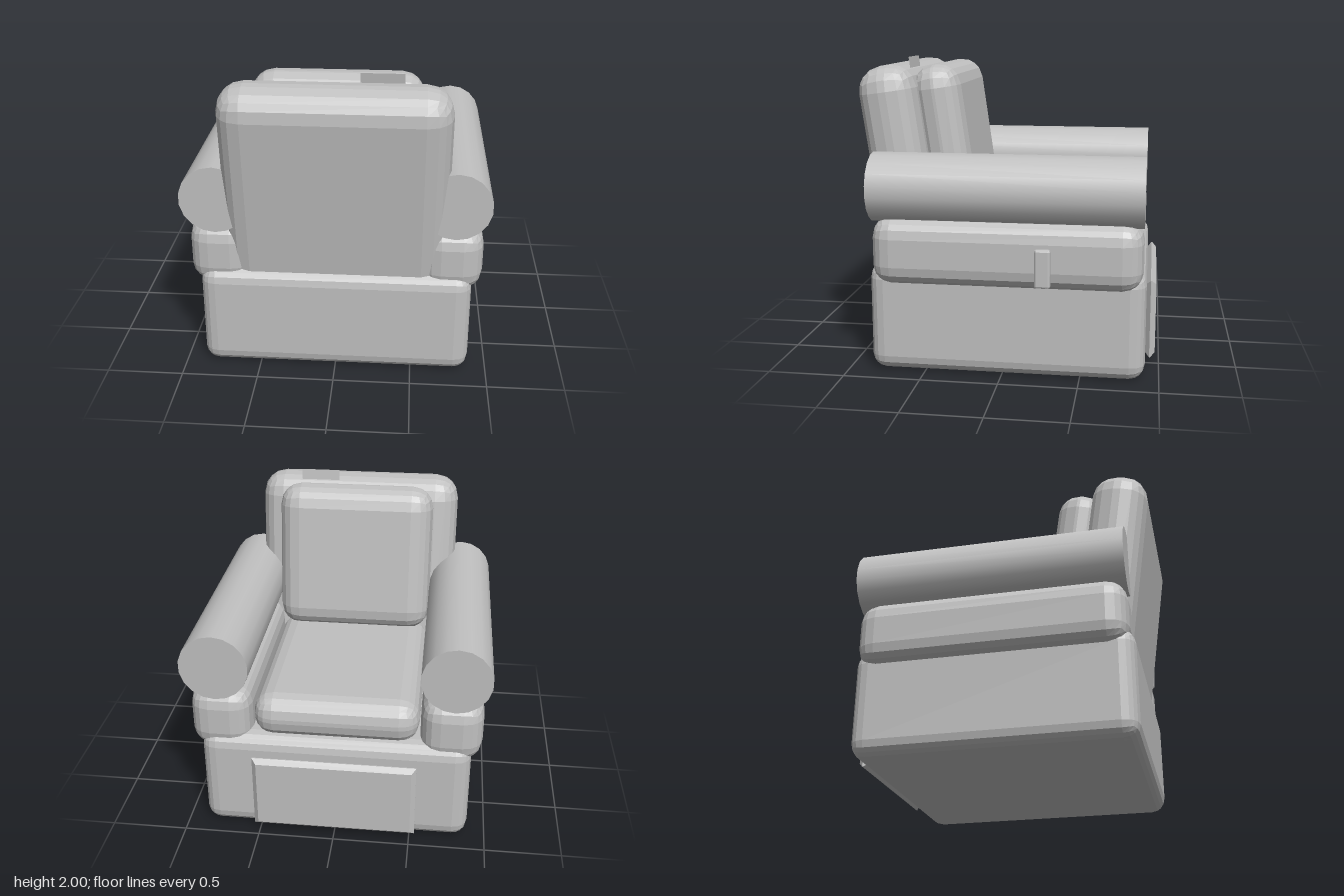
import * as THREE from 'three';
import { RoundedBoxGeometry } from 'three/addons/geometries/RoundedBoxGeometry.js';

export function createModel() {
  const chair = new THREE.Group();
  chair.name = 'armchair';
  const fabric = new THREE.MeshStandardMaterial({ color: 0xc0c0c0, side: THREE.DoubleSide });
  fabric.name = 'grey fabric';

  function add(name, geometry, x, y, z, tilt = 0) {
    const mesh = new THREE.Mesh(geometry, fabric);
    mesh.name = name;
    mesh.position.set(x, y, z);
    mesh.rotation.x = tilt;
    chair.add(mesh);
    return mesh;
  }

  // Faceted padded block
  function pad(w, h, d, radius, segments = 2) {
    const g = new RoundedBoxGeometry(w, h, d, segments, radius);
    g.computeVertexNormals();
    return g;
  }

  const lean = 0.142;

  add('base', pad(1.76, 0.71, 1.77, 0.1), 0, 0.355, -0.025);
  add('seatCushion', pad(1.08, 0.29, 1.36, 0.13), 0, 0.815, -0.19);
  add('backrest', pad(1.435, 1.415, 0.38, 0.165), 0, 1.25, 0.705, lean);
  add('backCushion', pad(1.09, 1.04, 0.32, 0.15), 0, 1.435, 0.44, lean);

  // Arms: padded side with a round roll on top
  for (const side of [1, -1]) {
    const label = side > 0 ? 'left' : 'right';
    add(label + 'ArmSide', pad(0.4, 0.44, 1.72, 0.13), side * 0.747, 0.8, -0.03);
    const roll = new THREE.CylinderGeometry(0.223, 0.223, 1.72, 18);
    roll.rotateX(Math.PI / 2);
    add(label + 'ArmRoll', roll, side * 0.761, 1.197, -0.03);
  }

  // Chamfered footrest panel on the seat side
  const w = 0.505, h = 0.232;
  const outline = new THREE.Shape([
    new THREE.Vector2(-w, -h), new THREE.Vector2(w, -h),
    new THREE.Vector2(w, h), new THREE.Vector2(-w, h),
  ]);
  const panel = new THREE.ExtrudeGeometry(outline, {
    depth: 0.006, bevelEnabled: true, bevelSegments: 1, bevelSize: 0.03, bevelThickness: 0.03,
  });
  add('footrestPanel', panel, 0, 0.312, -0.943);

  // Recliner handle and the small tag on the backrest
  add('reclineHandle', pad(0.05, 0.245, 0.1, 0.014, 1), 0.95, 0.743, -0.273);
  add('tag', new THREE.PlaneGeometry(0.27, 0.14), 0.283, 1.93, 0.668, lean);

  return chair;
}
